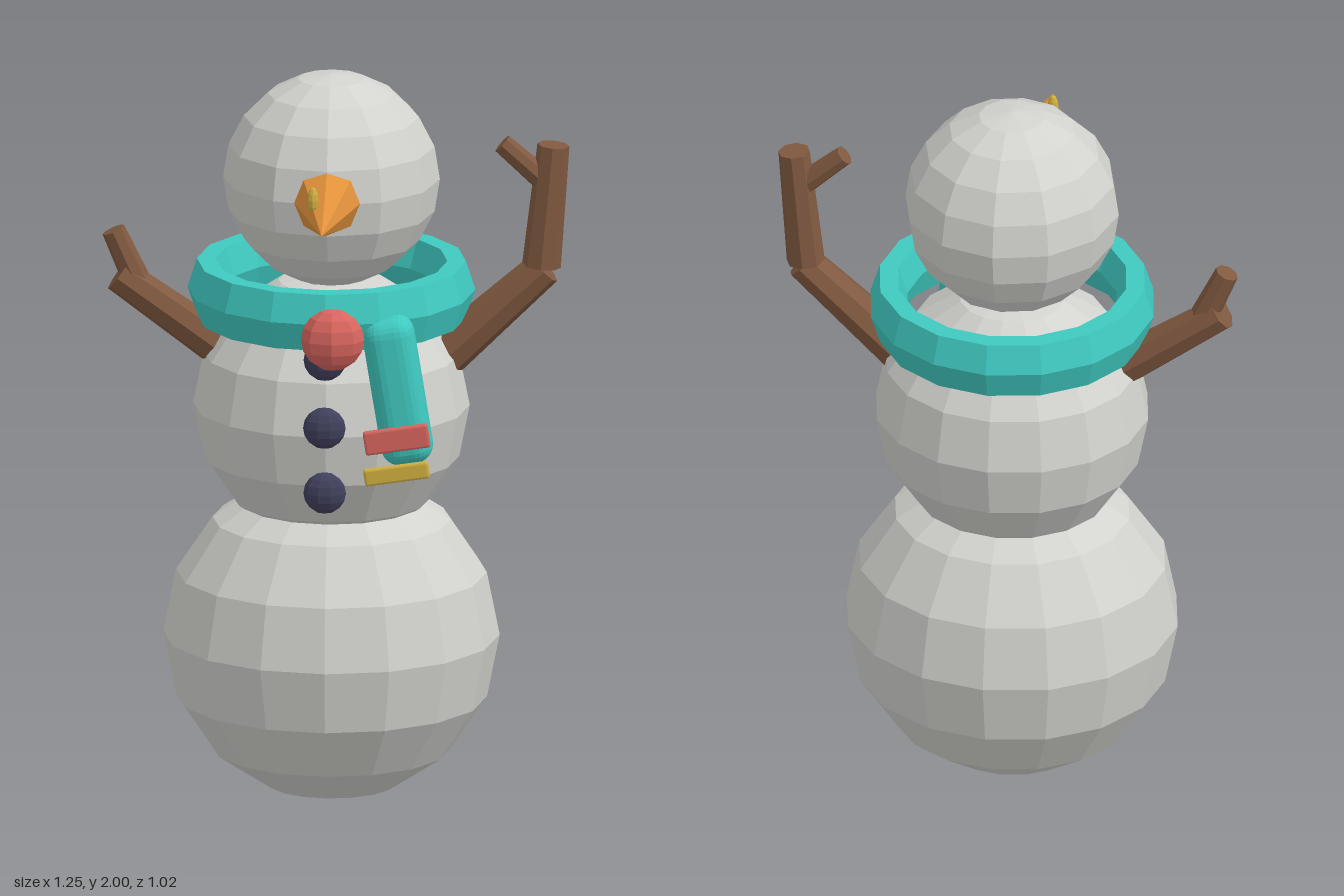
import * as THREE from 'three';
import { RoundedBoxGeometry } from 'three/addons/geometries/RoundedBoxGeometry.js';

const CX = -0.012, CZ = -0.085; // axis of the snow body

export function createModel() {
  const model = new THREE.Group();
  model.name = 'snowman';

  const mat = (name, color, flatShading = true) => {
    const m = new THREE.MeshStandardMaterial({ color, flatShading });
    m.name = name;
    return m;
  };
  const snow = mat('snow', 0xd2d2ce);
  const teal = mat('teal wool', 0x3fc9c0);
  const red = mat('red wool', 0xd9655f);
  const orange = mat('carrot orange', 0xe0903a);
  const brown = mat('bark brown', 0x805940);
  const navy = mat('coal navy', 0x40405c);
  const yellow = mat('mustard yellow', 0xd0b040);

  const add = (name, geo, material, x, y, z, parent = model) => {
    const mesh = new THREE.Mesh(geo, material);
    mesh.name = name;
    mesh.position.set(x, y, z);
    parent.add(mesh);
    return mesh;
  };
  const ball = (name, material, [rx, ry, rz], [x, y, z], w, h) =>
    add(name, new THREE.SphereGeometry(1, w, h).scale(rx, ry, rz), material, x, y, z);

  // Three stacked snowballs
  ball('lowerBody', snow, [0.45, 0.45, 0.425], [CX, 0.45, CZ], 16, 8);
  ball('middleBody', snow, [0.37, 0.37, 0.355], [CX, 1.085, CZ], 16, 8);
  ball('head', snow, [0.29, 0.29, 0.285], [CX, 1.71, CZ], 12, 10);

  // Carrot nose with a tiny sprig
  add('nose', new THREE.ConeGeometry(0.09, 0.34, 8).rotateX(Math.PI / 2), orange, CX, 1.71, 0.34);
  ball('noseSprig', yellow, [0.015, 0.037, 0.015], [-0.042, 1.765, 0.348], 8, 6);

  // Scarf ring, knot, hanging tail and its stripes
  add('scarfRing', new THREE.TorusGeometry(0.335, 0.05, 6, 16).scale(1, 1, 1.8).rotateX(Math.PI / 2),
    teal, CX, 1.405, CZ);
  ball('scarfKnot', red, [0.085, 0.085, 0.06], [0.008, 1.365, 0.295], 8, 8);
  add('scarfTail', new RoundedBoxGeometry(0.14, 0.41, 0.115, 3, 0.05), teal, 0.18, 1.215, 0.242)
    .rotation.z = 0.16;
  [['scarfStripe', red, 0.065, 1.094, 0.305], ['scarfFringe', yellow, 0.046, 1.0, 0.308]]
    .forEach(([name, m, h, y, z]) => {
      add(name, new RoundedBoxGeometry(0.175, h, 0.022, 1, 0.006), m, 0.18, y, z).rotation.z = 0.15;
    });

  // Coal buttons
  [[1.3, 0.265], [1.12, 0.295], [0.935, 0.275]].forEach(([y, z], i) =>
    ball('button' + (i + 1), navy, [0.057, 0.057, 0.036], [CX - 0.002, y, z], 10, 8));

  // Branch arms made of tapered sticks
  const stick = (parent, name, [x0, y0], [x1, y1], r0, r1) => {
    const len = Math.hypot(x1 - x0, y1 - y0);
    add(name, new THREE.CylinderGeometry(r1, r0, len, 8), brown, (x0 + x1) / 2, (y0 + y1) / 2, CZ + 0.005, parent)
      .rotation.z = Math.atan2(x0 - x1, y1 - y0);
  };
  const leftArm = new THREE.Group();
  leftArm.name = 'leftArm';
  stick(leftArm, 'upperBranch', [0.28, 1.215], [0.558, 1.47], 0.064, 0.05);
  stick(leftArm, 'foreBranch', [0.55, 1.475], [0.582, 1.81], 0.052, 0.043);
  stick(leftArm, 'twig', [0.56, 1.71], [0.445, 1.812], 0.033, 0.028);
  const rightArm = new THREE.Group();
  rightArm.name = 'rightArm';
  stick(rightArm, 'upperBranch', [-0.27, 1.215], [-0.582, 1.437], 0.06, 0.048);
  stick(rightArm, 'twig', [-0.53, 1.415], [-0.595, 1.56], 0.038, 0.032);
  model.add(leftArm, rightArm);

  return model;
}
